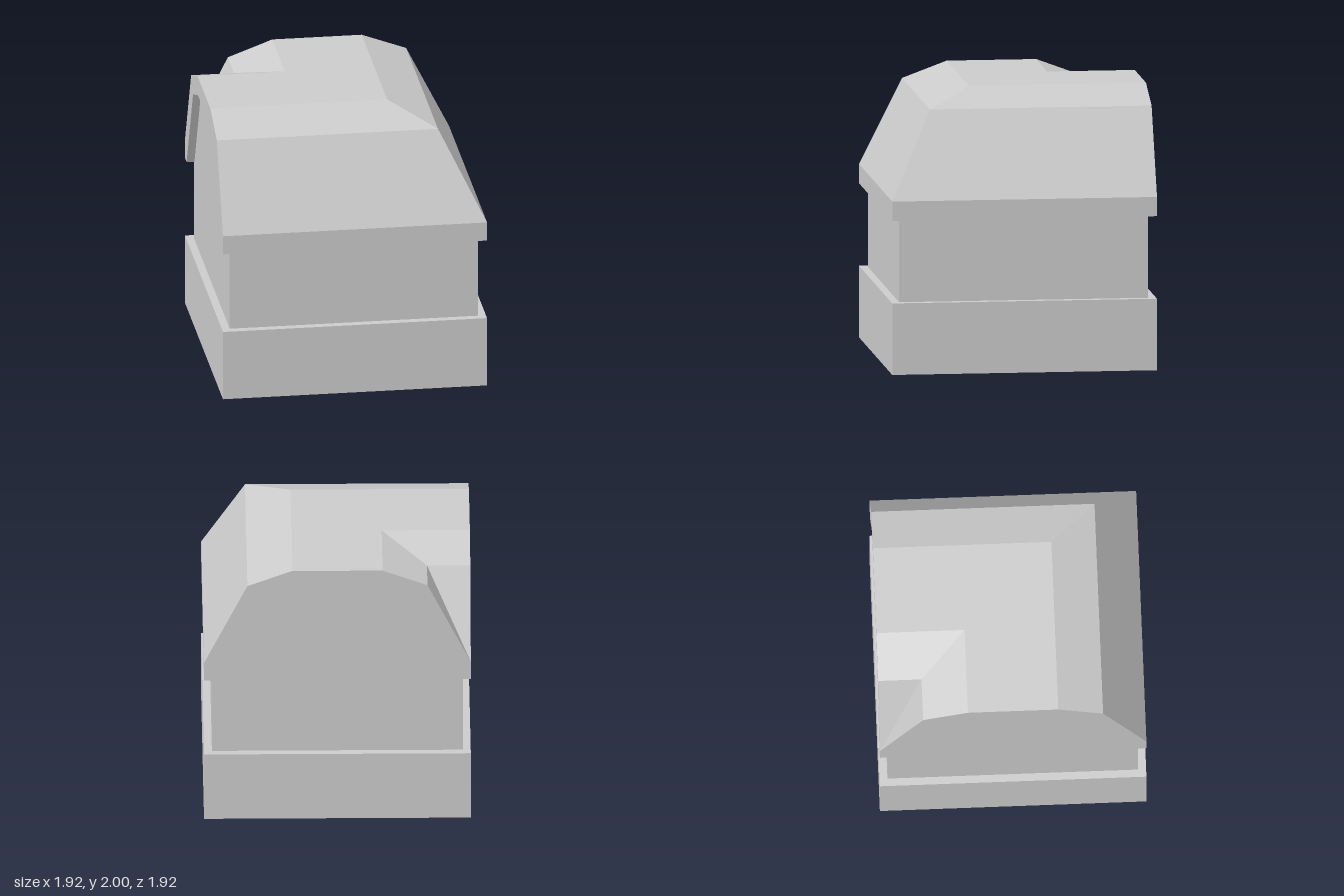
import * as THREE from 'three';

const HALF = 0.96;      // half width of base and roof
const WALL = 0.903;     // half width of the recessed walls

// Sweeps a closed section [p, y] round an L-shaped, mitred path whose two arms
// end at x = end and z = end. The section runs from +p over the top to -p.
function mitredSweep(section, end) {
  const pos = [];
  const rails = section.map(([p, y]) => [
    new THREE.Vector3(end, y, p),
    new THREE.Vector3(p, y, p),
    new THREE.Vector3(p, y, end),
  ]);
  const tri = (a, b, c) => {
    if (new THREE.Triangle(a, b, c).getArea() < 1e-7) return;
    for (const v of [a, b, c]) pos.push(v.x, v.y, v.z);
  };
  // the two arms, meeting on the diagonal
  rails.forEach((r, i) => {
    const q = rails[(i + 1) % rails.length];
    for (let k = 0; k < 2; k++) {
      tri(r[k], r[k + 1], q[k + 1]);
      tri(r[k], q[k + 1], q[k]);
    }
  });
  // gable ends
  const outline = section.map(([p, y]) => new THREE.Vector2(p, y));
  for (const [a, b, c] of THREE.ShapeUtils.triangulateShape(outline, [])) {
    tri(rails[a][0], rails[b][0], rails[c][0]);
    tri(rails[a][2], rails[c][2], rails[b][2]);
  }
  const geo = new THREE.BufferGeometry();
  geo.setAttribute('position', new THREE.Float32BufferAttribute(pos, 3));
  geo.computeVertexNormals();
  return geo;
}

// Mirrors a half profile to give a full arch from +p to -p
const arch = (half) => [...half, ...half.map(([p, y]) => [-p, y]).reverse()];

export function createModel() {
  const group = new THREE.Group();
  const material = new THREE.MeshStandardMaterial({ color: 0xcccccc, flatShading: true });
  const add = (name, geometry) => {
    const mesh = new THREE.Mesh(geometry, material);
    mesh.name = name;
    group.add(mesh);
    return mesh;
  };

  // Plinth
  add('base', new THREE.BoxGeometry(2 * HALF, 0.52, 2 * HALF)).position.y = 0.26;

  // Gambrel profiles, eave to ridge
  const outer = arch([[HALF, 1.12], [HALF, 1.26], [0.648, 1.88], [0.325, 2]]);
  const inner = arch([[0.875, 1.12], [0.55, 1.77], [0.3, 1.86]]);

  // Walls with gables filling the underside of the roof
  add('walls', mitredSweep([[WALL, 0.5], [WALL, 1.12], ...inner, [-WALL, 1.12], [-WALL, 0.5]], -WALL));

  // Roof shell: hip at the outer corner, valley at the inner corner
  add('roof', mitredSweep([...outer, ...inner.slice().reverse()], -HALF));

  return group;
}
